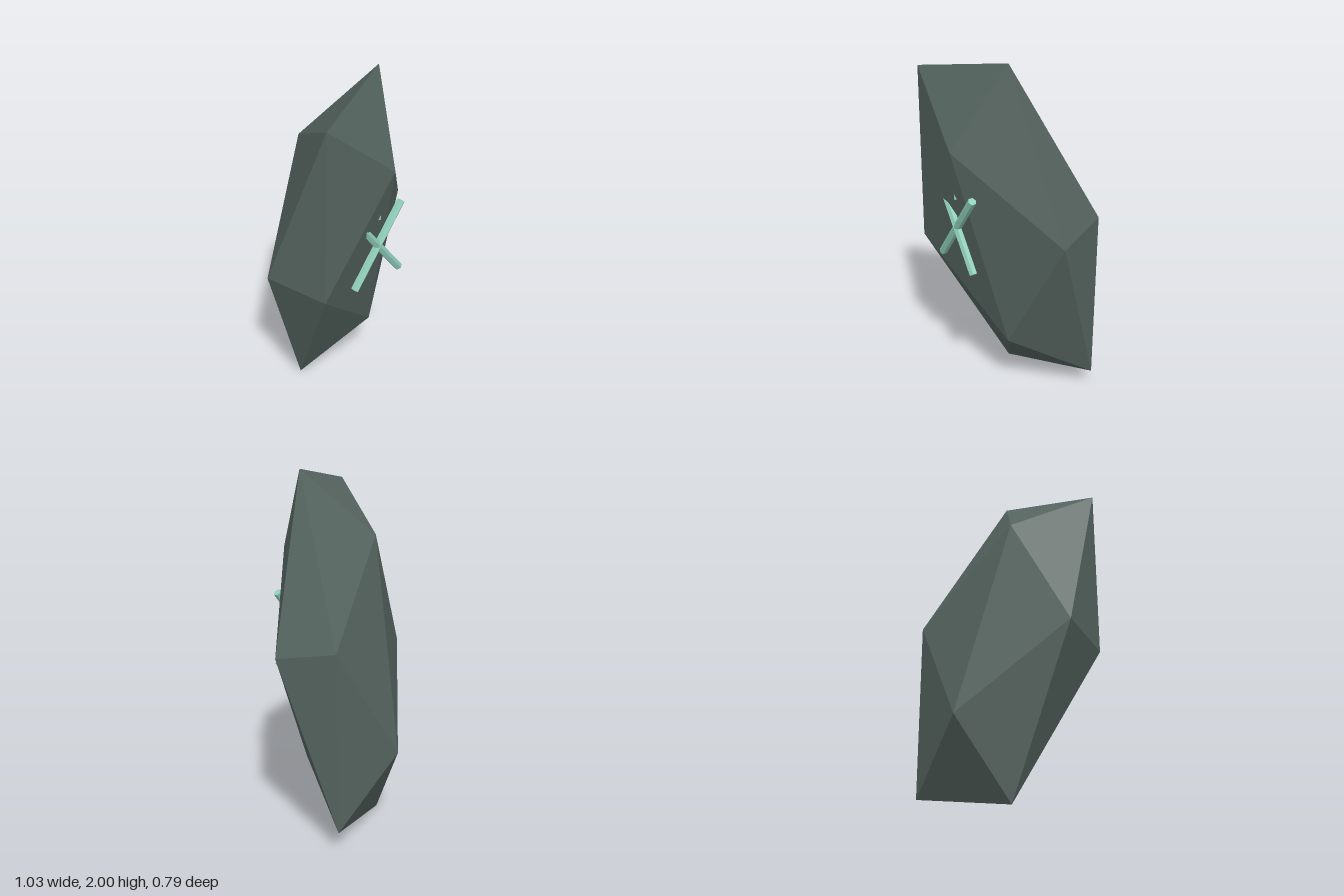
import * as THREE from 'three';
import { ConvexGeometry } from 'three/addons/geometries/ConvexGeometry.js';

export function createModel() {
  const model = new THREE.Group();
  const stoneMat = new THREE.MeshStandardMaterial({ color: 0x55645f, flatShading: true });
  const runeMat = new THREE.MeshStandardMaterial({ color: 0x8fcfb9, flatShading: true });

  // Stretched, tilted icosahedron: six corners, each mirrored through the centre
  const centre = new THREE.Vector3(0, 1, 0);
  const corners = [
    [0.185, 1, 0.12], [-0.37, 0.89, 0.34], [0.05, 0.537, 0.393],
    [0.513, 0.057, -0.02], [-0.382, -0.118, 0.335], [0.165, -0.635, 0.11],
  ].flatMap(([x, y, z]) => {
    const v = new THREE.Vector3(x, y, z);
    return [v.clone().add(centre), v.clone().negate().add(centre)];
  });
  const stone = new THREE.Mesh(new ConvexGeometry(corners), stoneMat);
  stone.name = 'stone';
  model.add(stone);

  // Carved mark: hexagonal bars partly sunk into the front face
  const mark = new THREE.Group();
  mark.name = 'mark';
  const addBar = (name, y, radius, length, angle) => {
    const bar = new THREE.Mesh(new THREE.CylinderGeometry(radius, radius, length, 6), runeMat);
    bar.name = name;
    bar.position.set(0, y, 0.331);
    bar.rotation.z = angle;
    mark.add(bar);
  };
  addBar('risingBar', 1.077, 0.023, 0.545, -0.655);
  addBar('fallingBar', 1.077, 0.023, 0.545, 0.655);
  addBar('uprightBar', 1.33, 0.0145, 0.17, 0);
  model.add(mark);

  return model;
}
